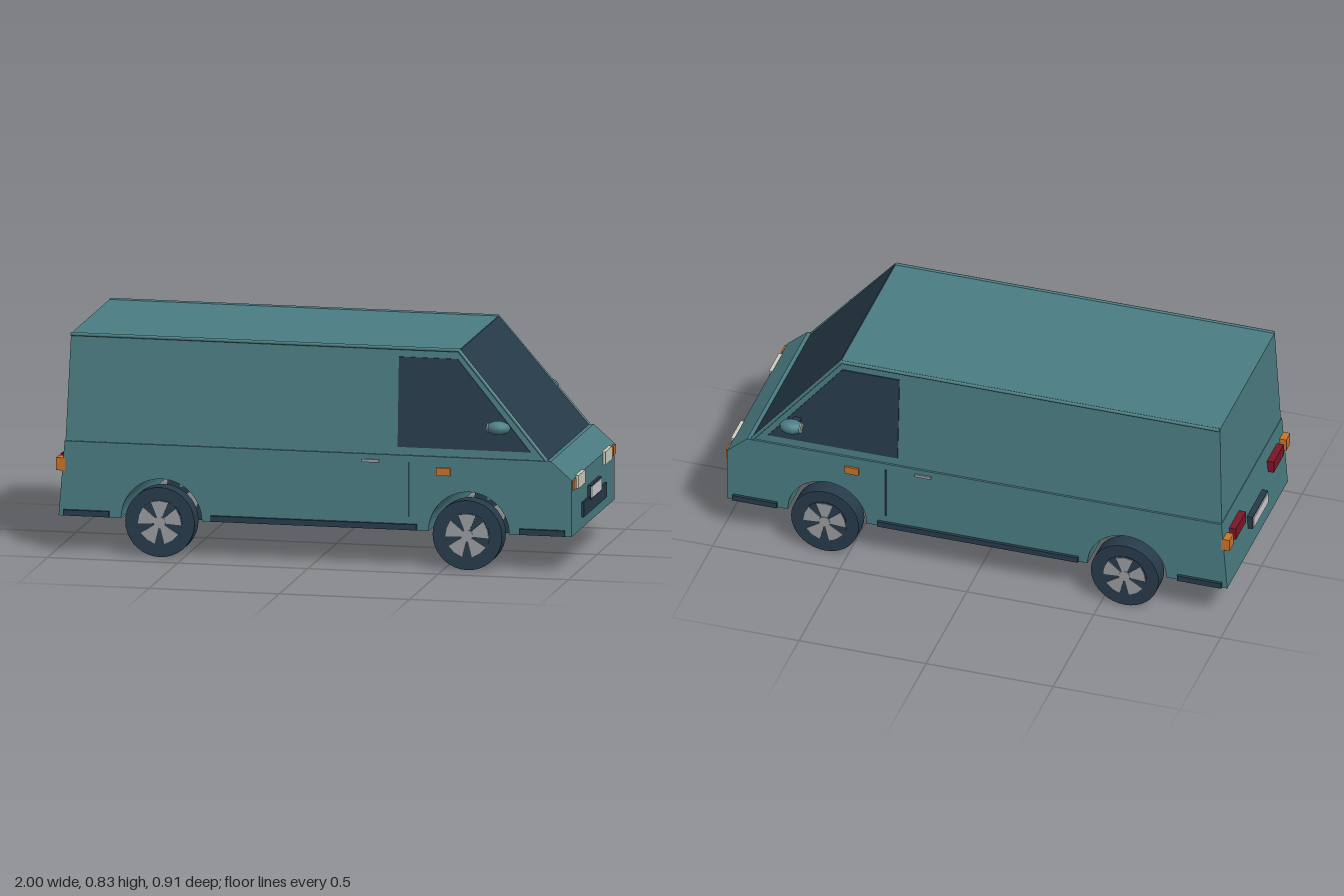
import * as THREE from 'three';
import { toCreasedNormals } from 'three/addons/utils/BufferGeometryUtils.js';

const mat = (name, color) => {
  const m = new THREE.MeshStandardMaterial({ color });
  m.name = name;
  return m;
};

export function createModel() {
  const van = new THREE.Group();
  van.name = 'van';
  const paint = mat('teal paint', 0x4a7c82);
  const dark = mat('dark glass and rubber', 0x273b4a);
  const amber = mat('amber lens', 0xc8732a);
  const cream = mat('headlight lens', 0xcfd0be);
  const red = mat('red lens', 0x7c1626);
  const plate = mat('plate', 0xd0ccd2);
  const metal = mat('grey metal', 0x9b9ca0);

  const add = (name, geo, material, parent = van) => {
    const m = new THREE.Mesh(geo, material);
    m.name = name;
    parent.add(m);
    return m;
  };
  // Box given by its limits on each axis
  const box = (name, material, x0, x1, y0, y1, z0, z1) => {
    const m = add(name, new THREE.BoxGeometry(x1 - x0, y1 - y0, Math.abs(z1 - z0)), material);
    m.position.set((x0 + x1) / 2, (y0 + y1) / 2, (z0 + z1) / 2);
    return m;
  };
  const polygon = pts => new THREE.Shape(pts.map(p => new THREE.Vector2(...p)));
  const extrude = (shape, depth) =>
    new THREE.ExtrudeGeometry(shape, { depth, bevelEnabled: false, curveSegments: 24 });

  // Half width of the cabin, narrowing towards the roof
  const BELT = 0.425, ROOF = 0.83;
  const halfWidth = y => 0.365 - 0.028 * (y - BELT) / (ROOF - BELT);
  const moveZ = (geo, rule) => {
    const p = geo.attributes.position;
    for (let i = 0; i < p.count; i++) p.setZ(i, rule(p.getZ(i), p.getY(i)));
    geo.computeVertexNormals();
    return geo;
  };
  const cabinSlab = pts =>
    moveZ(extrude(polygon(pts), 1), (z, y) => (z - 0.5) * 2 * halfWidth(y));

  // Lower body with wheel arches cut right through
  const lower = new THREE.Shape();
  lower.moveTo(-0.985, 0.14);
  lower.lineTo(-0.745, 0.14);
  lower.absarc(-0.59, 0.14, 0.155, Math.PI, 0, true);
  lower.lineTo(0.435, 0.14);
  lower.absarc(0.59, 0.14, 0.155, Math.PI, 0, true);
  lower.lineTo(0.985, 0.14);
  lower.lineTo(0.985, 0.355);
  lower.lineTo(0.905, BELT);
  lower.lineTo(-0.962, BELT);
  lower.closePath();
  const lowerGeo = extrude(lower, 0.746);
  lowerGeo.translate(0, 0, -0.373);
  add('lowerBody', toCreasedNormals(lowerGeo, 0.4), paint);

  // Cabin and windscreen
  add('upperBody', cabinSlab([[-0.96, BELT], [0.885, BELT], [0.545, ROOF], [-0.945, ROOF]]), paint);
  add('windscreen', cabinSlab([[0.884, BELT], [0.89, BELT], [0.55, ROOF], [0.544, ROOF]]), dark);

  // Wheel: tyre, dark dish and five-spoke rim on both faces
  const spoke = polygon([[0.017, -0.009], [0.077, -0.033], [0.082, 0], [0.077, 0.033], [0.017, 0.009]]);
  const tyreGeo = new THREE.CylinderGeometry(0.133, 0.133, 0.07, 36).rotateX(Math.PI / 2);
  const hubGeo = new THREE.CylinderGeometry(0.022, 0.022, 0.084, 16).rotateX(Math.PI / 2);
  const dishGeo = new THREE.CylinderGeometry(0.086, 0.086, 0.074, 32).rotateX(Math.PI / 2);
  const spokeGeo = extrude(spoke, 0.08);
  spokeGeo.translate(0, 0, -0.04);
  const makeWheel = (name, x, z) => {
    const wheel = new THREE.Group();
    wheel.name = name;
    wheel.position.set(x, 0.135, z);
    add('tyre', tyreGeo, dark, wheel);
    add('rimDish', dishGeo, dark, wheel);
    add('hub', hubGeo, metal, wheel);
    for (let i = 0; i < 5; i++) {
      add('spoke', spokeGeo, metal, wheel).rotation.z = Math.PI / 2 + i * Math.PI * 2 / 5;
    }
    van.add(wheel);
  };

  const windowShape = polygon([[0.315, 0.455], [0.825, 0.455], [0.54, 0.795], [0.315, 0.795]]);
  for (const s of [1, -1]) {
    const side = s > 0 ? 'left' : 'right';
    // Side window lying on the sloping cabin wall
    add(side + 'Window', moveZ(extrude(windowShape, 0.004), (z, y) =>
      s > 0 ? halfWidth(y) + z : -halfWidth(y) - 0.004 + z), dark);

    // Roof gutter and windscreen pillar
    const rail = new THREE.CurvePath();
    const corner = new THREE.Vector3(0.545, 0.828, s * 0.339);
    rail.add(new THREE.LineCurve3(new THREE.Vector3(-0.945, 0.828, s * 0.339), corner));
    rail.add(new THREE.LineCurve3(corner, new THREE.Vector3(0.888, 0.424, s * 0.365)));
    rail.curves.forEach((c, i) =>
      add(side + (i ? 'Pillar' : 'Gutter'), new THREE.TubeGeometry(c, 1, 0.007, 8), paint));
    add(side + 'RailJoint', new THREE.SphereGeometry(0.007, 8, 6), paint).position.copy(corner);

    // Sills, door seam, handle and side marker
    for (const [x0, x1] of [[-0.965, -0.79], [-0.4, 0.39], [0.785, 0.96]]) {
      box(side + 'Sill', dark, x0, x1, 0.142, 0.164, s * 0.37, s * 0.385);
    }
    box(side + 'DoorSeam', dark, 0.357, 0.363, 0.19, 0.4, s * 0.37, s * 0.3745);
    box(side + 'DoorHandle', metal, 0.18, 0.245, 0.394, 0.405, s * 0.37, s * 0.379);
    box(side + 'SideMarker', amber, 0.465, 0.52, 0.354, 0.384, s * 0.37, s * 0.381);

    // Mirror
    const shell = add(side + 'Mirror', new THREE.SphereGeometry(1, 10, 7), paint);
    shell.scale.set(0.047, 0.027, 0.035);
    shell.position.set(0.715, 0.555, s * 0.425);
    box(side + 'MirrorArm', dark, 0.695, 0.725, 0.546, 0.556, s * 0.345, s * 0.41);
    const glass = add(side + 'MirrorGlass', new THREE.CylinderGeometry(1, 1, 1, 12).rotateZ(Math.PI / 2), metal);
    glass.scale.set(0.006, 0.018, 0.024);
    glass.position.set(0.676, 0.555, s * 0.425);

    // Lamps at both ends
    box(side + 'Headlight', cream, 0.98, 0.994, 0.31, 0.36, s * 0.173, s * 0.295);
    box(side + 'FrontIndicator', amber, 0.98, 0.992, 0.317, 0.353, s * 0.32, s * 0.364);
    box(side + 'TailLight', red, -0.994, -0.96, 0.312, 0.36, s * 0.172, s * 0.295);
    box(side + 'RearIndicator', amber, -0.994, -0.96, 0.312, 0.36, s * 0.325, s * 0.374);

    makeWheel(side + 'FrontWheel', 0.59, s * 0.366);
    makeWheel(side + 'RearWheel', -0.59, s * 0.366);
  }

  // Front bumper pad and number plates with frames
  box('bumperPad', dark, 0.98, 0.994, 0.183, 0.24, -0.202, 0.202);
  box('frontPlateFrame', dark, 0.98, 0.997, 0.23, 0.283, -0.094, 0.094);
  box('frontPlate', plate, 0.99, 1, 0.234, 0.278, -0.088, 0.088);
  box('rearPlateFrame', dark, -0.996, -0.965, 0.23, 0.283, -0.094, 0.094);
  box('rearPlate', plate, -1, -0.99, 0.234, 0.278, -0.088, 0.088);

  return van;
}
